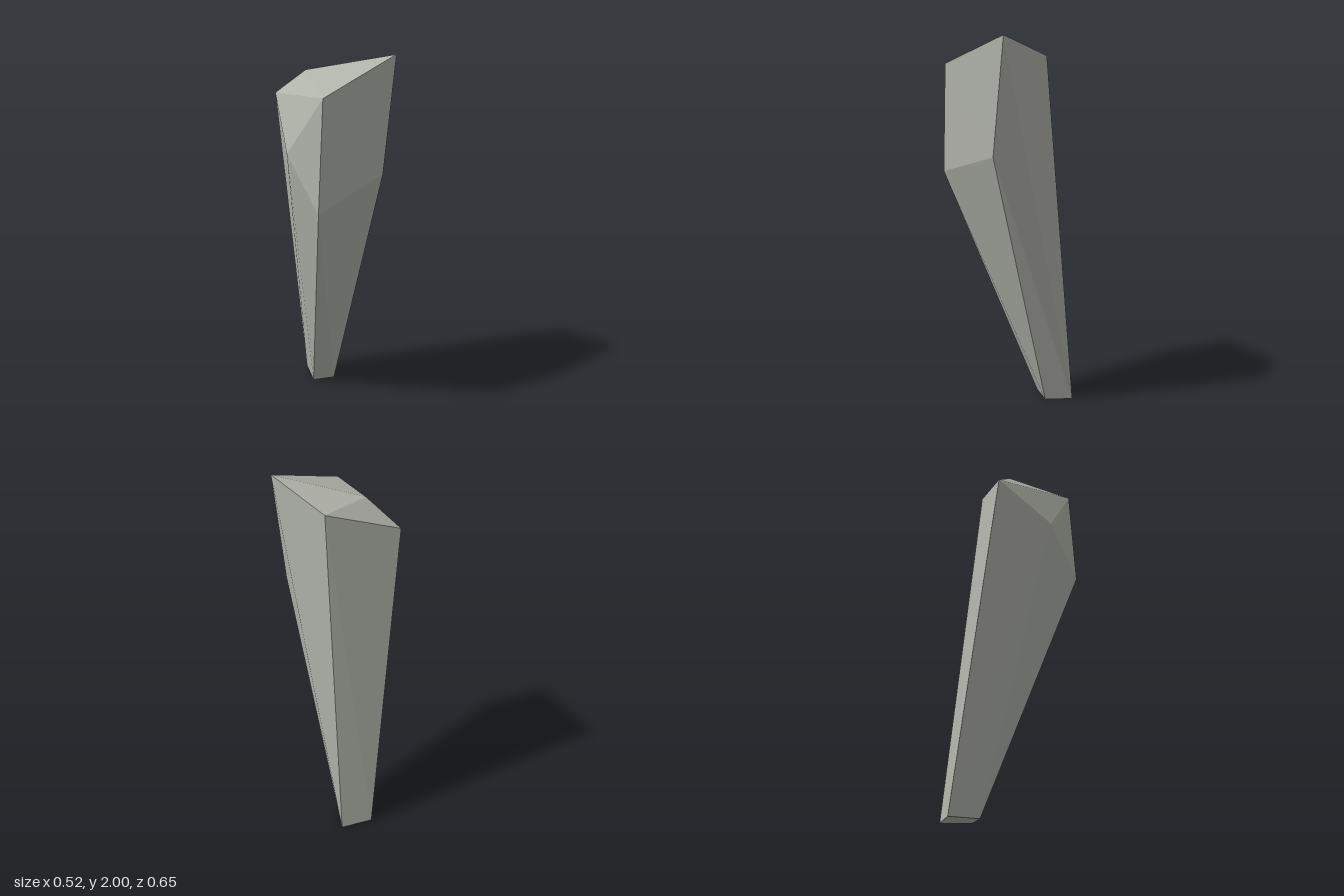
import * as THREE from 'three';
import { ConvexGeometry } from 'three/addons/geometries/ConvexGeometry.js';

// Tall leaning stone shard: a faceted hull widening from a small foot to a chipped head.
export function createModel() {
  const group = new THREE.Group();
  group.name = 'stoneShard';

  const stone = new THREE.MeshStandardMaterial({ color: 0xb0b3aa });
  stone.name = 'greyStone';

  // small four-sided foot
  const foot = [
    [-0.05, 0, -0.328], [0.128, 0, -0.303], [0.072, 0, -0.16], [-0.055, 0, -0.172],
  ];
  // widest ring of the shard, where the front face begins
  const shoulder = [
    [-0.17, 1.31, 0.327], [0.2, 1.43, 0.205], [-0.263, 1.56, 0.13],
  ];
  // sloping, chipped top
  const crown = [
    [0.261, 2, 0.175], [-0.142, 1.86, 0.316], [-0.235, 1.78, -0.168],
    [-0.112, 1.91, -0.045], [0.127, 1.9, -0.117],
  ];

  const points = [...foot, ...shoulder, ...crown].map((p) => new THREE.Vector3(...p));
  const shard = new THREE.Mesh(new ConvexGeometry(points), stone);
  shard.name = 'shard';
  group.add(shard);
  return group;
}
